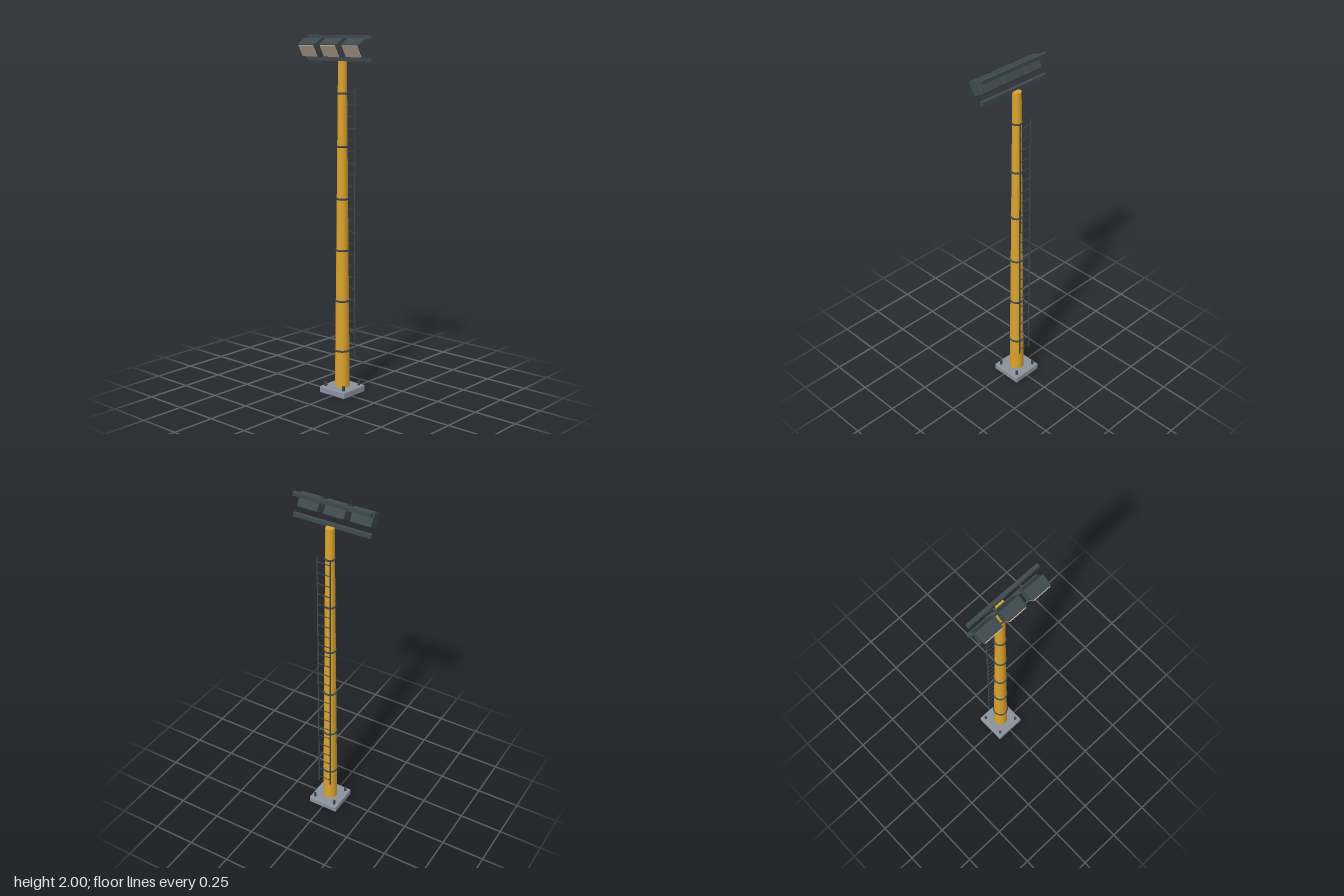
import * as THREE from 'three';
import { RoundedBoxGeometry } from 'three/addons/geometries/RoundedBoxGeometry.js';

const paint = (name, color) => {
  const m = new THREE.MeshStandardMaterial({ color });
  m.name = name;
  return m;
};

export function createModel() {
  const yellow = paint('mast yellow', 0xdba32c);
  const concrete = paint('base grey', 0x8b929d);
  const dark = paint('dark steel', 0x3e494e);
  const glass = paint('warm glass', 0xbfab9b);

  const model = new THREE.Group();
  model.name = 'floodlightMast';
  const add = (parent, name, geometry, material, x, y, z) => {
    const mesh = new THREE.Mesh(geometry, material);
    mesh.name = name;
    mesh.position.set(x, y, z);
    parent.add(mesh);
    return mesh;
  };

  const poleZ = -0.019, poleBottom = 0.036, poleTop = 1.868;
  const bottomR = 0.042, topR = 0.024;
  const poleRadius = (y) =>
    THREE.MathUtils.mapLinear(y, poleBottom, poleTop, bottomR, topR);

  // Foundation with four anchor bolts
  add(model, 'base', new RoundedBoxGeometry(0.184, 0.038, 0.184, 2, 0.006), concrete, 0, 0.019, poleZ);
  const boltGeo = new THREE.CylinderGeometry(0.0075, 0.0075, 0.03, 8);
  for (const sx of [-1, 1]) for (const sz of [-1, 1])
    add(model, 'anchorBolt', boltGeo, dark, sx * 0.066, 0.049, poleZ + sz * 0.066);

  // Tapered mast and its clamp bands
  add(model, 'mast', new THREE.CylinderGeometry(topR, bottomR, poleTop - poleBottom, 20),
    yellow, 0, (poleTop + poleBottom) / 2, poleZ);
  for (let i = 0; i < 6; i++) {
    const y = 0.25 + i * 0.288;
    const band = add(model, 'clampBand', new THREE.TorusGeometry(poleRadius(y) + 0.0005, 0.006, 6, 18),
      dark, 0, y, poleZ);
    band.rotation.x = Math.PI / 2;
  }

  // Service ladder behind the mast
  const ladder = new THREE.Group();
  ladder.name = 'ladder';
  ladder.position.z = -0.081;
  model.add(ladder);
  const railGeo = new THREE.BoxGeometry(0.006, 1.54, 0.006);
  for (const s of [-1, 1]) add(ladder, 'ladderRail', railGeo, dark, s * 0.038, 0.95, 0);
  const rungGeo = new THREE.CylinderGeometry(0.0024, 0.0024, 0.076, 6).rotateZ(Math.PI / 2);
  for (let i = 0; i < 24; i++) add(ladder, 'ladderRung', rungGeo, dark, 0, 0.212 + i * 0.0642, 0);

  // Crossbars above and below the lamps
  const barGeo = new THREE.BoxGeometry(0.452, 0.02, 0.02);
  for (const y of [1.872, 1.99]) add(model, 'crossbar', barGeo, dark, 0, y, 0.002);

  // Three floodlights tilted towards the ground
  const housingGeo = new RoundedBoxGeometry(0.123, 0.083, 0.066, 2, 0.008);
  const lensGeo = new THREE.BoxGeometry(0.104, 0.068, 0.008);
  for (const i of [-1, 0, 1]) {
    const lamp = new THREE.Group();
    lamp.name = 'floodlight';
    lamp.position.set(i * 0.1545, 1.934, 0.056);
    lamp.rotation.x = Math.PI / 6;
    add(lamp, 'lampHousing', housingGeo, dark, 0, 0, 0);
    add(lamp, 'lampLens', lensGeo, glass, 0, 0, 0.034);
    model.add(lamp);
  }
  return model;
}
